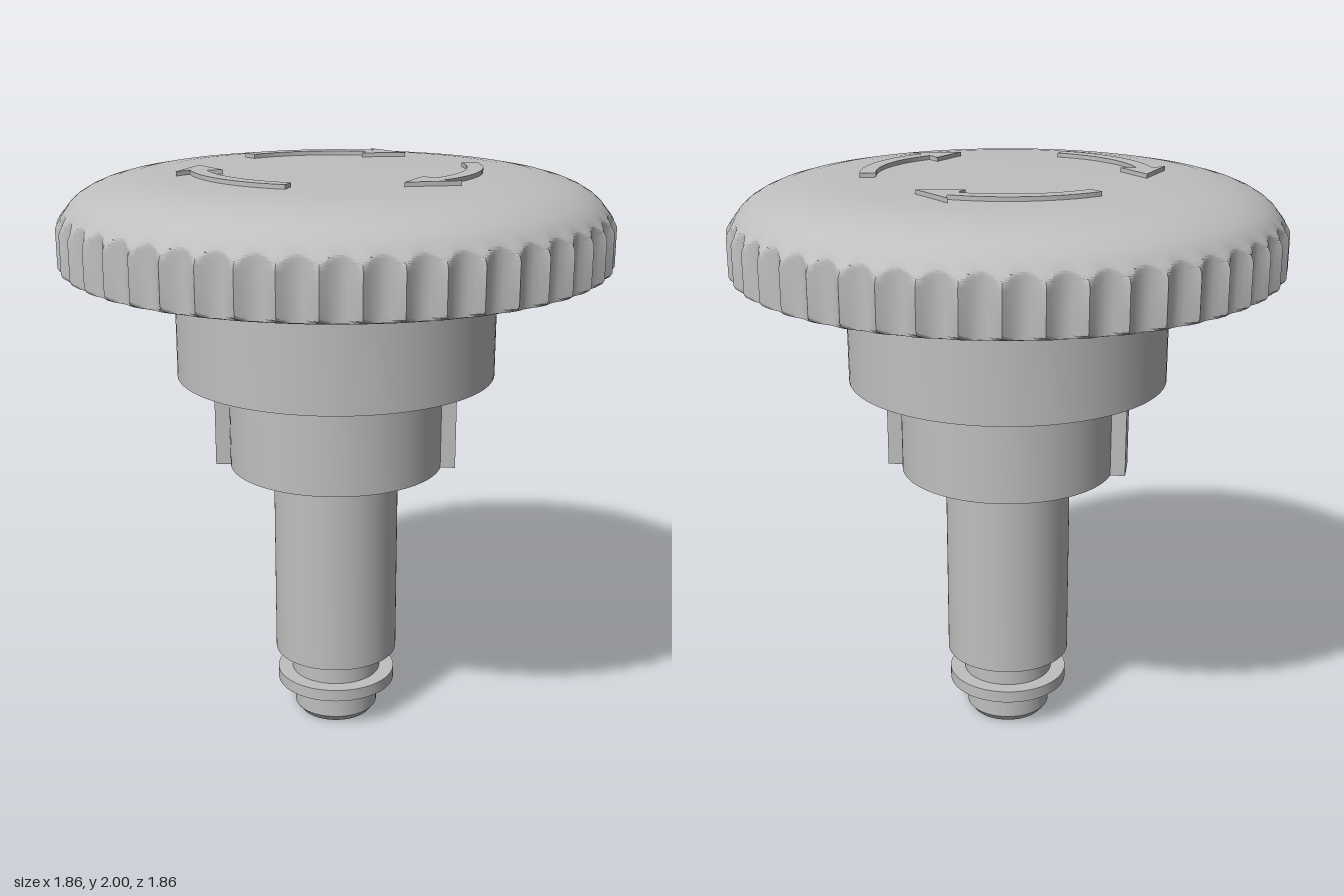
import * as THREE from 'three';
import { toCreasedNormals } from 'three/addons/utils/BufferGeometryUtils.js';

const TEETH = 48;

export function createModel() {
  const group = new THREE.Group();
  const grey = new THREE.MeshStandardMaterial({ color: 0xbfbfbf });
  grey.name = 'plain grey';

  function add(name, geometry) {
    const mesh = new THREE.Mesh(geometry, grey);
    mesh.name = name;
    group.add(mesh);
    return mesh;
  }
  const turned = (name, points, segments = 96) =>
    add(name, toCreasedNormals(
      new THREE.LatheGeometry(points.map(([r, y]) => new THREE.Vector2(r, y)), segments), 0.4));

  // Stepped shaft with a chamfered end and a retaining flange
  turned('shaft', [
    [0, 0], [0.13, 0], [0.15, 0.025], [0.15, 0.122], [0.213, 0.122], [0.213, 0.165],
    [0.16, 0.165], [0.16, 0.25], [0.22, 0.25], [0.22, 0.97],
  ]);
  turned('hub', [[0, 0.965], [0.373, 0.965], [0.373, 1.3]]);
  turned('collar', [[0, 1.297], [0.548, 1.297], [0.548, 1.612]]);
  turned('flare', [[0.5, 1.61], [0.615, 1.61], [0.675, 1.67]]);

  // Locating keys on both sides of the hub
  for (const side of [1, -1]) {
    const key = add('key', new THREE.BoxGeometry(0.1, 0.331, 0.116));
    key.position.set(side * 0.37, 1.131, 0);
  }

  // Domed head: a turned profile whose rim is cut back by concave scallops
  const profile = [[0, 1.668], [0.88, 1.668], [0.905, 1.674], [0.922, 1.684], [0.928, 1.695], [0.928, 1.82]];
  for (let i = 1; i <= 8; i++) profile.push([0.928 - 0.03 * (i / 8) ** 1.5, 1.82 + 0.006 * i]);
  profile.push([0.88, 1.892], [0.855, 1.914], [0.82, 1.935], [0.78, 1.952], [0.73, 1.966],
    [0.67, 1.977], [0.6, 1.983], [0.5, 1.986], [0, 1.986]);
  const head = new THREE.LatheGeometry(
    profile.map(([r, y]) => new THREE.Vector2(r, y)), TEETH * 6);
  const pos = head.attributes.position;
  for (let i = 0; i < pos.count; i++) {
    const x = pos.getX(i), z = pos.getZ(i), r = Math.hypot(x, z);
    if (r < 0.85) continue;
    const turn = Math.atan2(x, z) / (Math.PI * 2) * TEETH;
    const fromTip = Math.abs(turn - Math.round(turn)) * 2; // 0 at a tip, 1 in a valley
    const limit = 0.897 + 0.031 * (1 - fromTip) ** 2;
    const k = Math.min(r, limit) / r;
    pos.setX(i, x * k);
    pos.setZ(i, z * k);
  }
  add('head', toCreasedNormals(head, 0.45));

  // Raised clockwise arrows on the head
  const at = (r, deg) => {
    const a = THREE.MathUtils.degToRad(deg);
    return new THREE.Vector2(r * Math.sin(a), r * Math.cos(a));
  };
  const outline = [];
  const steps = 16;
  for (let i = 0; i <= steps; i++) outline.push(at(0.487, -44.5 + 58 * i / steps));
  outline.push(at(0.537, 11), at(0.457, 30), at(0.382, 11.3));
  for (let i = steps; i >= 0; i--) outline.push(at(0.434, -44.5 + 56.5 * i / steps));
  const arrow = new THREE.ExtrudeGeometry(new THREE.Shape(outline), { depth: 0.03, bevelEnabled: false });
  arrow.rotateX(-Math.PI / 2);
  for (let i = 0; i < 3; i++) {
    const mesh = add('arrow', arrow);
    mesh.position.y = 1.97;
    mesh.rotation.y = -i * Math.PI * 2 / 3;
  }
  return group;
}
